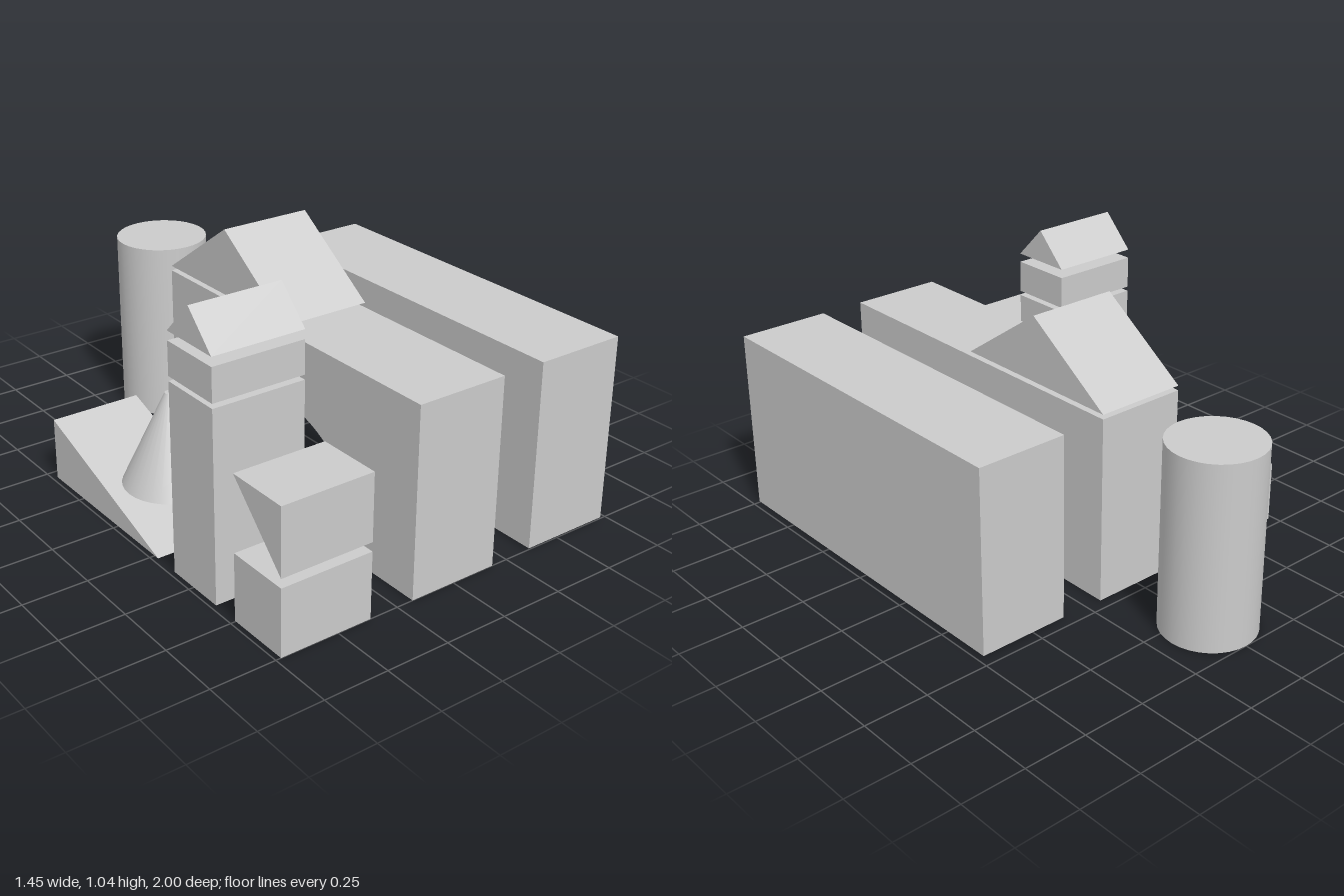
import * as THREE from 'three';

const WIDTH = 0.365;      // every block is one module wide
const LEFT = -0.547, MID = 0, RIGHT = 0.543; // x of the three rows

export function createModel() {
  const group = new THREE.Group();
  group.name = 'toyBlocks';
  const material = new THREE.MeshStandardMaterial({ color: 0xcccccc });

  const add = (name, geometry, x, y, z) => {
    const mesh = new THREE.Mesh(geometry, material);
    mesh.name = name;
    mesh.position.set(x, y, z);
    group.add(mesh);
    return mesh;
  };

  // cuboid given by its y and z ranges
  const block = (name, x, y0, y1, z0, z1) =>
    add(name, new THREE.BoxGeometry(WIDTH, y1 - y0, z1 - z0), x, (y0 + y1) / 2, (z0 + z1) / 2);

  // side profile drawn in (z, y), extruded across the width
  const profile = (name, x, shape) => {
    const geometry = new THREE.ExtrudeGeometry(shape, { depth: WIDTH, bevelEnabled: false, curveSegments: 32 });
    geometry.translate(0, 0, -WIDTH / 2).rotateY(-Math.PI / 2);
    return add(name, geometry, x, 0, 0);
  };
  const triangle = (name, x, ...points) =>
    profile(name, x, new THREE.Shape(points.map(([z, y]) => new THREE.Vector2(z, y))));

  // Right row: one large block
  block('largeBlock', RIGHT, 0.005, 0.73, -0.455, 1);

  // Middle row: arch with a gable roof, and a pillar behind
  const arch = new THREE.Shape();
  arch.moveTo(-0.455, 0);
  arch.lineTo(-0.185, 0);
  arch.absarc(0.2725, 0, 0.4575, Math.PI, 0, true);
  arch.lineTo(1, 0);
  arch.lineTo(1, 0.73);
  arch.lineTo(-0.455, 0.73);
  arch.closePath();
  profile('arch', MID, arch);
  triangle('largeRoof', MID, [-0.455, 0.748], [0.275, 0.748], [-0.09, 1.002]);
  add('pillar', new THREE.CylinderGeometry(0.182, 0.182, 0.73, 32), MID, 0.365, -0.818);

  // Left row: tower with a cap and a small roof
  block('tower', LEFT, 0, 0.73, 0.38, 0.635);
  block('towerCap', LEFT, 0.748, 0.875, 0.38, 0.635);
  triangle('smallRoof', LEFT, [0.38, 0.91], [0.635, 0.91], [0.5075, 1.04]);

  // Left row, front: small block with an upturned wedge above it
  block('smallBlock', LEFT, 0, 0.258, 0.745, 1);
  triangle('upturnedWedge', LEFT, [1, 0.293], [1, 0.55], [0.745, 0.55]);

  // Left row, back: long ramp and a blunt-tipped cone
  triangle('ramp', LEFT, [-0.455, 0], [0.272, 0], [-0.455, 0.247]);
  add('cone', new THREE.CylinderGeometry(0.018, 0.182, 0.35, 32), LEFT, 0.35, 0.09);

  return group;
}
